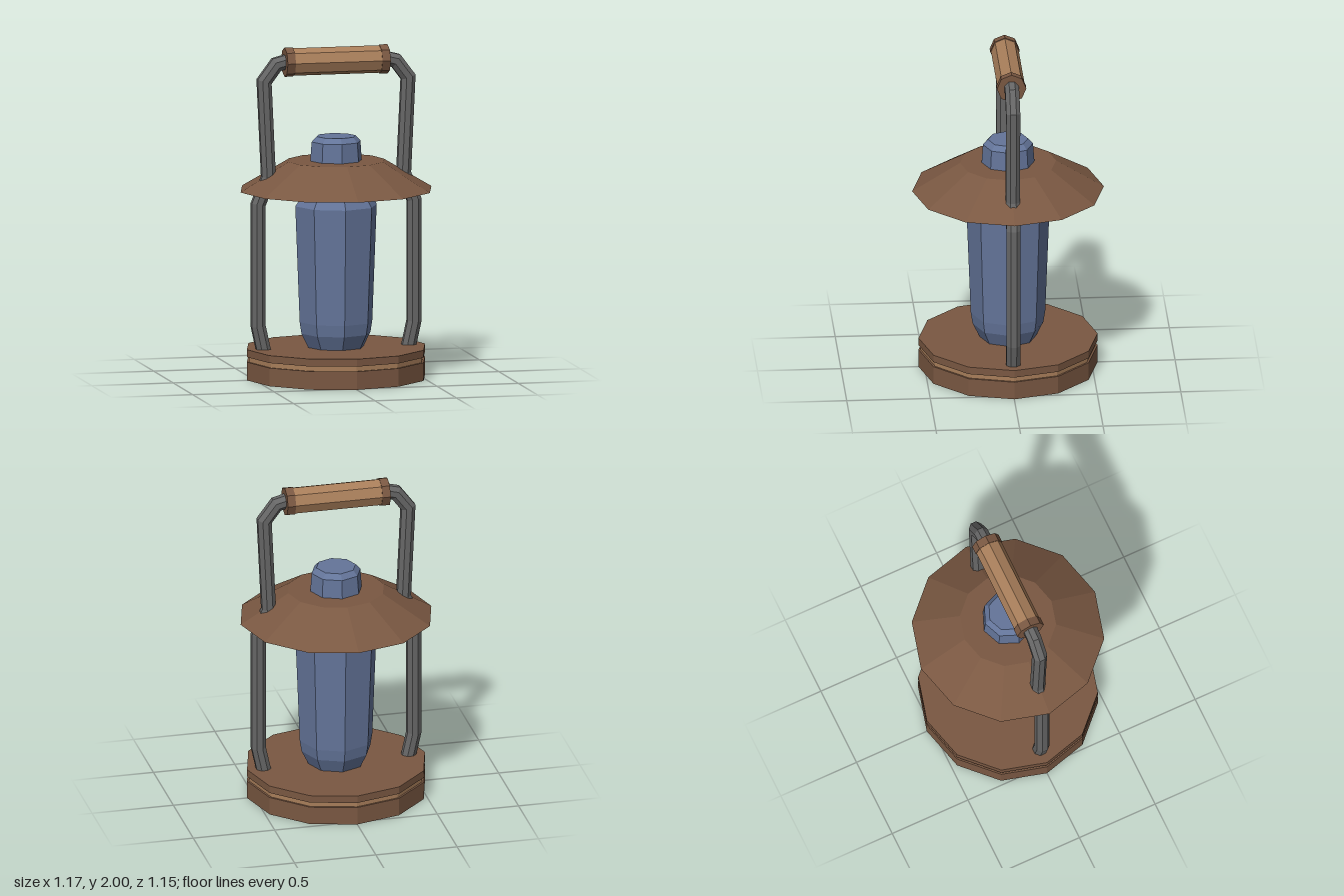
import * as THREE from 'three';

const material = (color) => new THREE.MeshStandardMaterial({ color, flatShading: true });

export function createModel() {
  const group = new THREE.Group();
  const brown = material(0x7a5842);
  const wood = material(0xa87e5a);
  const blue = material(0x64759a);
  const metal = material(0x666666);

  const add = (name, geometry, mat, parent = group) => {
    const mesh = new THREE.Mesh(geometry, mat);
    mesh.name = name;
    parent.add(mesh);
    return mesh;
  };
  // Faceted solid of revolution from [radius, y] pairs, bottom to top
  const turned = (points, sides) =>
    new THREE.LatheGeometry(points.map(([r, y]) => new THREE.Vector2(r, y)), sides);

  // Base: two slabs with a lighter band in the groove between them
  const slab = (name, r, y0, y1, mat) => {
    const mesh = add(name, new THREE.CylinderGeometry(r, r, y1 - y0, 12), mat);
    mesh.position.y = (y0 + y1) / 2;
    mesh.scale.z = 0.98;
  };
  slab('baseLower', 0.547, 0, 0.11, brown);
  slab('baseBand', 0.535, 0.11, 0.14, wood);
  slab('baseUpper', 0.547, 0.14, 0.185, brown);

  // Glass body and the cap above the shade
  add('glassBody', turned([[0, 0.16], [0.155, 0.16], [0.17, 0.185], [0.212, 0.27], [0.223, 0.34],
    [0.25, 1.04], [0.17, 1.16], [0, 1.16]], 8), blue);
  add('topCap', turned([[0, 1.28], [0.16, 1.28], [0.15, 1.425], [0.12, 1.457], [0, 1.457]], 8), blue);

  // Shade with a flat underside
  const shade = add('shade', new THREE.CylinderGeometry(0.293, 0.586, 0.175, 12), brown);
  shade.position.y = 1.2225;
  shade.scale.z = 0.98;

  // Wire frame: octagonal bar swept along a bent path with mitred corners
  const bar = (path, radius, sides = 8) => {
    const pts = path.map(([x, y]) => new THREE.Vector2(x, y));
    const positions = [];
    const index = [];
    pts.forEach((p, i) => {
      const before = p.clone().sub(pts[Math.max(i - 1, 0)]).normalize();
      const after = pts[Math.min(i + 1, pts.length - 1)].clone().sub(p).normalize();
      const t = before.clone().add(after).normalize();
      const mitre = 1 / t.dot(i ? before : after);
      for (let j = 0; j < sides; j++) {
        const a = ((j + 0.5) / sides) * Math.PI * 2;
        const u = Math.cos(a) * radius * mitre;
        positions.push(p.x + t.y * u, p.y - t.x * u, Math.sin(a) * radius);
      }
    });
    for (let i = 0; i < pts.length - 1; i++) {
      for (let j = 0; j < sides; j++) {
        const a = i * sides + j;
        const b = i * sides + ((j + 1) % sides);
        index.push(a, a + sides, b, b, a + sides, b + sides);
      }
    }
    // End caps
    const last = (pts.length - 1) * sides;
    for (let j = 1; j < sides - 1; j++) {
      index.push(0, j, j + 1, last, last + j + 1, last + j);
    }
    const geometry = new THREE.BufferGeometry();
    geometry.setAttribute('position', new THREE.Float32BufferAttribute(positions, 3));
    geometry.setIndex(index);
    geometry.computeVertexNormals();
    return geometry;
  };
  const wirePath = [[0.443, 0.165], [0.478, 0.325], [0.478, 1.06], [0.415, 1.22],
    [0.442, 1.8], [0.367, 1.9], [0.28, 1.922]];
  metal.side = THREE.DoubleSide;
  add('leftWire', bar(wirePath, 0.0455), metal);
  add('rightWire', bar(wirePath.map(([x, y]) => [-x, y]).reverse(), 0.0455), metal);

  // Handle grip with a collar at each end
  const handle = new THREE.Group();
  handle.name = 'handle';
  handle.position.y = 1.912;
  handle.rotation.z = Math.PI / 2;
  group.add(handle);
  add('grip', new THREE.CylinderGeometry(0.083, 0.083, 0.56, 8), wood, handle);
  for (const side of [-1, 1]) {
    const collar = add('gripCollar', new THREE.CylinderGeometry(0.088, 0.088, 0.05, 8), brown, handle);
    collar.position.y = side * 0.291;
  }
  return group;
}
